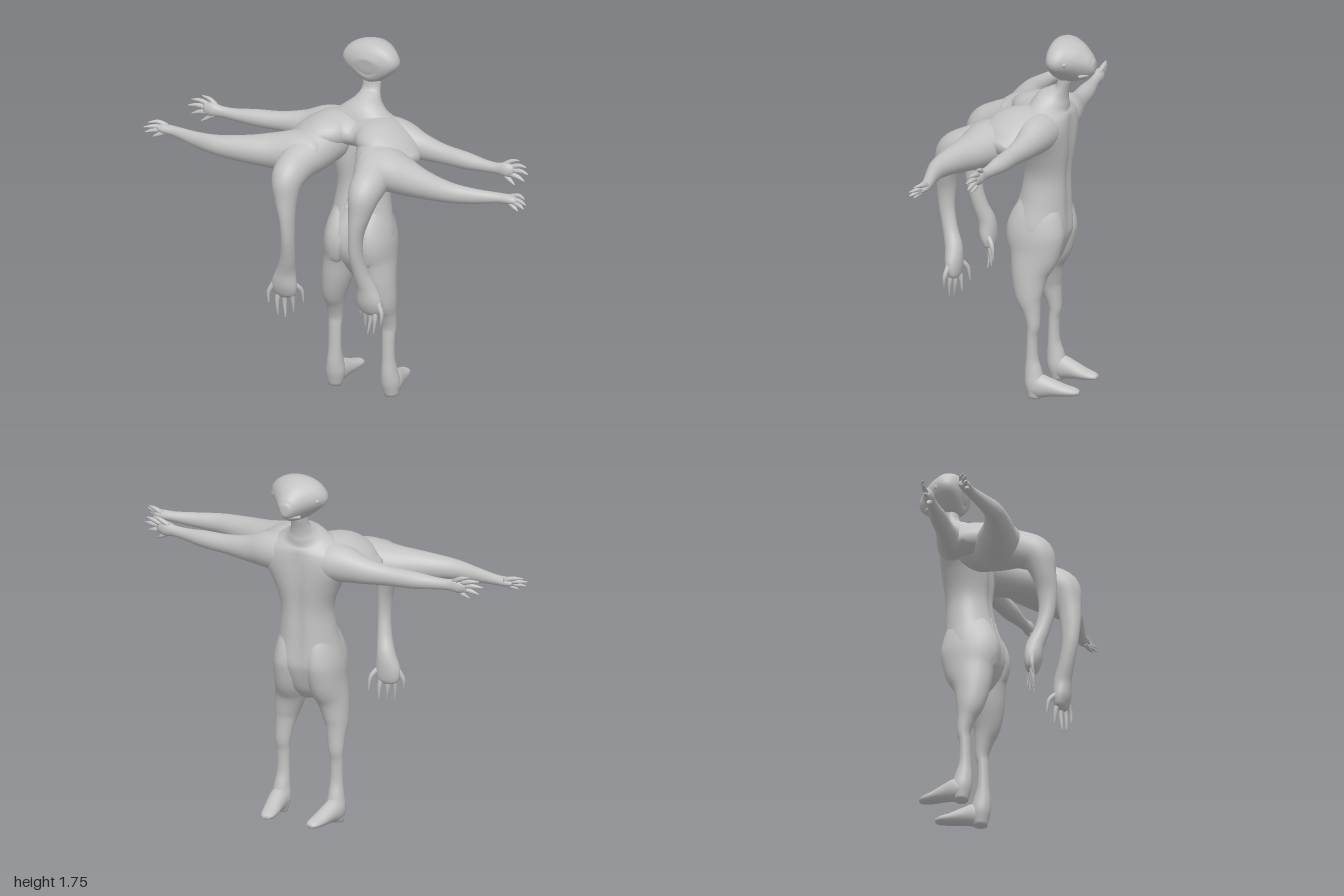
import * as THREE from 'three';

const skin = new THREE.MeshStandardMaterial({ color: 0xc2c2c2 });
skin.name = 'paleGreySkin';
const X = new THREE.Vector3(1, 0, 0);
const Z = new THREE.Vector3(0, 0, 1);

// Smooth closed loft through rings [x, y, z, a, b]; radius a lies along "axis"
function loft(name, rings, axis, sides = 24, steps = 5) {
  const path = new THREE.CatmullRomCurve3(rings.map(r => new THREE.Vector3(r[0], r[1], r[2])), false, 'catmullrom', 0.5);
  const size = new THREE.CatmullRomCurve3(rings.map(r => new THREE.Vector3(r[3], r[4], 0)), false, 'catmullrom', 0.5);
  const n = (rings.length - 1) * steps, pos = [], idx = [];
  for (let i = 0; i <= n; i++) {
    const c = path.getPoint(i / n), s = size.getPoint(i / n), t = path.getTangent(i / n);
    const u = axis.clone().addScaledVector(t, -axis.dot(t)).normalize();
    const v = new THREE.Vector3().crossVectors(t, u);
    for (let j = 0; j < sides; j++) {
      const k = j / sides * Math.PI * 2;
      const p = c.clone().addScaledVector(u, s.x * Math.cos(k)).addScaledVector(v, s.y * Math.sin(k));
      pos.push(p.x, p.y, p.z);
    }
  }
  for (let i = 0; i < n; i++) for (let j = 0; j < sides; j++) {
    const a = i * sides + j, b = i * sides + (j + 1) % sides;
    idx.push(a, b, b + sides, a, b + sides, a + sides);
  }
  // end caps
  const first = pos.length / 3, p0 = path.getPoint(0), p1 = path.getPoint(1);
  pos.push(p0.x, p0.y, p0.z, p1.x, p1.y, p1.z);
  for (let j = 0; j < sides; j++) {
    const k = (j + 1) % sides;
    idx.push(first, k, j, first + 1, n * sides + j, n * sides + k);
  }
  const g = new THREE.BufferGeometry();
  g.setAttribute('position', new THREE.Float32BufferAttribute(pos, 3));
  g.setIndex(idx);
  g.computeVertexNormals();
  const m = new THREE.Mesh(g, skin);
  m.name = name;
  return m;
}

// Move vertices by a rule
function reshape(mesh, rule) {
  const p = mesh.geometry.attributes.position, v = new THREE.Vector3();
  for (let i = 0; i < p.count; i++) {
    v.fromBufferAttribute(p, i);
    rule(v);
    p.setXYZ(i, v.x, v.y, v.z);
  }
  mesh.geometry.computeVertexNormals();
  return mesh;
}

// Tapered, slightly bent fingers: [base, middle, tip]
function fingers(group, name, list, s, axis) {
  list.forEach(([a, b, c], i) => {
    const rings = [[...a, 0.013, 0.013], [...b, 0.011, 0.011], [...c, 0.003, 0.003]];
    rings.forEach(r => { r[0] *= s; });
    group.add(loft(name + (i + 1), rings, axis, 8, 4));
  });
}

export function createModel() {
  const model = new THREE.Group();
  model.name = 'fourArmedFigure';

  // Torso and neck, with a groove down the spine and the chest
  const torso = loft('torso', [
    [0, 0.61, -0.095, 0.05, 0.05], [0, 0.68, -0.095, 0.12, 0.1], [0, 0.8, -0.092, 0.166, 0.143],
    [0, 0.95, -0.112, 0.14, 0.12], [0, 1.08, -0.122, 0.13, 0.108], [0, 1.2, -0.126, 0.175, 0.116],
    [0, 1.3, -0.13, 0.235, 0.115], [0, 1.37, -0.135, 0.21, 0.106], [0, 1.42, -0.147, 0.125, 0.09],
    [0, 1.46, -0.17, 0.07, 0.063], [0, 1.5, -0.195, 0.048, 0.034], [0, 1.55, -0.21, 0.045, 0.035],
    [0, 1.6, -0.215, 0.05, 0.04]], X, 40);
  model.add(reshape(torso, v => {
    const fade = THREE.MathUtils.smoothstep(v.y, 0.7, 0.85) * (1 - THREE.MathUtils.smoothstep(v.y, 1.3, 1.42));
    v.z -= Math.sign(v.z + 0.12) * 0.015 * fade * Math.exp(-((v.x / 0.03) ** 2));
  }));

  // Chest and shoulder mass joining the four arms
  const half = [[0.07, 1.345, -0.085, 0.13, 0.08], [0.14, 1.335, -0.055, 0.155, 0.088],
    [0.21, 1.308, -0.025, 0.155, 0.08], [0.27, 1.286, -0.005, 0.115, 0.058], [0.32, 1.275, 0.01, 0.05, 0.025]];
  model.add(loft('chest', [
    ...half.map(([x, ...r]) => [-x, ...r]).reverse(),
    [0, 1.34, -0.095, 0.125, 0.07], ...half], Z, 32));

  // Wedge head, blunt at one end, pointed at the muzzle, narrowing to the jaw
  const head = loft('head', [
    [0, 1.638, -0.139, 0.035, 0.03], [0, 1.639, -0.145, 0.082, 0.06], [0, 1.641, -0.165, 0.128, 0.09],
    [0, 1.645, -0.205, 0.144, 0.109], [0, 1.64, -0.25, 0.118, 0.102], [0, 1.632, -0.3, 0.078, 0.082],
    [0, 1.628, -0.34, 0.046, 0.052], [0, 1.628, -0.36, 0.022, 0.026]], X, 32);
  model.add(reshape(head, v => {
    v.x *= 0.6 + 0.42 * THREE.MathUtils.smoothstep(v.y, 1.54, 1.665);
  }));
  model.add(loft('mouth', [[-0.05, 1.582, -0.295, 0.008, 0.01], [0, 1.588, -0.335, 0.012, 0.01],
    [0.05, 1.582, -0.295, 0.008, 0.01]], new THREE.Vector3(0, 1, 0), 10));

  for (const s of [1, -1]) {
    const side = new THREE.Group();
    side.name = s > 0 ? 'leftSide' : 'rightSide';
    model.add(side);
    const part = (name, rings, axis, sides) =>
      side.add(loft(name, rings.map(r => [r[0] * s, ...r.slice(1)]), axis, sides));

    const eye = new THREE.Mesh(new THREE.SphereGeometry(0.014, 12, 8), skin);
    eye.name = 'eye';
    eye.position.set(s * 0.112, 1.655, -0.245);
    side.add(eye);

    // Leg and backward-pointing foot
    part('leg', [
      [0.065, 1.0, -0.115, 0.035, 0.06], [0.074, 0.9, -0.102, 0.07, 0.118], [0.082, 0.8, -0.092, 0.087, 0.143],
      [0.09, 0.7, -0.09, 0.084, 0.123], [0.11, 0.6, -0.074, 0.074, 0.089], [0.13, 0.5, -0.077, 0.058, 0.066],
      [0.136, 0.43, -0.093, 0.045, 0.044], [0.14, 0.36, -0.105, 0.037, 0.031], [0.14, 0.3, -0.099, 0.032, 0.026],
      [0.14, 0.2, -0.098, 0.032, 0.029], [0.142, 0.13, -0.105, 0.039, 0.042], [0.144, 0.07, -0.113, 0.046, 0.046],
      [0.147, 0.005, -0.115, 0.034, 0.032]], X);
    part('foot', [
      [0.147, 0.05, -0.085, 0.02, 0.02], [0.147, 0.052, -0.095, 0.038, 0.042], [0.145, 0.064, -0.135, 0.046, 0.058],
      [0.137, 0.06, -0.19, 0.043, 0.044], [0.127, 0.051, -0.25, 0.04, 0.029], [0.119, 0.047, -0.3, 0.033, 0.019],
      [0.115, 0.044, -0.325, 0.017, 0.01]], X);
    // Raised angular fold over the hip
    part('hipFold', [[0.03, 0.98, -0.01, 0.01, 0.008], [0.045, 0.9, 0.005, 0.024, 0.016],
      [0.065, 0.8, 0.033, 0.036, 0.016], [0.08, 0.72, 0.025, 0.036, 0.014], [0.085, 0.68, 0.002, 0.02, 0.01]], X, 6);

    // Chest shoulder reaching forward and turning into the hanging arm
    part('hangingArm', [
      [0.09, 1.31, -0.17, 0.05, 0.05], [0.11, 1.315, -0.13, 0.1, 0.095], [0.135, 1.305, -0.04, 0.115, 0.115],
      [0.17, 1.265, 0.08, 0.105, 0.102], [0.195, 1.235, 0.19, 0.088, 0.088], [0.2, 1.19, 0.272, 0.076, 0.084],
      [0.193, 1.1, 0.304, 0.054, 0.06], [0.18, 1.0, 0.317, 0.036, 0.048], [0.178, 0.9, 0.315, 0.032, 0.039],
      [0.19, 0.8, 0.293, 0.036, 0.037], [0.21, 0.72, 0.268, 0.046, 0.042], [0.222, 0.65, 0.262, 0.063, 0.04],
      [0.225, 0.6, 0.256, 0.056, 0.028], [0.225, 0.58, 0.255, 0.03, 0.015]], X);
    fingers(side, 'hangingFinger', [
      [[0.27, 0.65, 0.27], [0.295, 0.6, 0.28], [0.293, 0.545, 0.285]],
      [[0.25, 0.61, 0.26], [0.256, 0.56, 0.27], [0.25, 0.49, 0.275]],
      [[0.225, 0.6, 0.255], [0.225, 0.55, 0.255], [0.215, 0.48, 0.265]],
      [[0.195, 0.61, 0.25], [0.19, 0.56, 0.24], [0.188, 0.5, 0.235]],
      [[0.18, 0.65, 0.25], [0.155, 0.61, 0.22], [0.148, 0.545, 0.21]]], s, X);

    // Front arm stretched sideways
    part('frontArm', [
      [0.1, 1.28, 0.06, 0.07, 0.05], [0.14, 1.275, 0.07, 0.11, 0.085], [0.22, 1.262, 0.095, 0.122, 0.1],
      [0.33, 1.252, 0.125, 0.093, 0.087], [0.45, 1.25, 0.163, 0.067, 0.069], [0.6, 1.25, 0.19, 0.046, 0.05],
      [0.72, 1.25, 0.178, 0.032, 0.038], [0.84, 1.255, 0.153, 0.026, 0.025], [0.91, 1.257, 0.148, 0.028, 0.022],
      [0.94, 1.257, 0.15, 0.02, 0.014]], Z);
    fingers(side, 'frontFinger', [
      [[0.9, 1.268, 0.135], [0.945, 1.282, 0.142], [0.985, 1.28, 0.165]],
      [[0.92, 1.262, 0.15], [0.96, 1.263, 0.16], [1.0, 1.26, 0.182]],
      [[0.92, 1.252, 0.155], [0.96, 1.245, 0.167], [0.99, 1.238, 0.185]],
      [[0.9, 1.245, 0.155], [0.93, 1.23, 0.165], [0.955, 1.218, 0.175]]], s, Z);

    // Rear arm stretched sideways, hand spread vertically
    part('rearArm', [
      [0.06, 1.32, -0.13, 0.05, 0.05], [0.11, 1.32, -0.13, 0.095, 0.09], [0.2, 1.315, -0.132, 0.085, 0.088],
      [0.3, 1.299, -0.127, 0.058, 0.065], [0.42, 1.29, -0.112, 0.043, 0.048], [0.55, 1.287, -0.098, 0.04, 0.041],
      [0.65, 1.287, -0.086, 0.028, 0.03], [0.72, 1.29, -0.08, 0.023, 0.027], [0.77, 1.293, -0.076, 0.026, 0.036],
      [0.81, 1.293, -0.073, 0.016, 0.026]], Z);
    fingers(side, 'rearFinger', [
      [[0.75, 1.312, -0.082], [0.79, 1.336, -0.09], [0.83, 1.348, -0.088]],
      [[0.79, 1.312, -0.08], [0.835, 1.325, -0.08], [0.875, 1.328, -0.07]],
      [[0.8, 1.298, -0.075], [0.85, 1.302, -0.072], [0.89, 1.298, -0.06]],
      [[0.79, 1.28, -0.07], [0.835, 1.272, -0.068], [0.87, 1.26, -0.06]],
      [[0.76, 1.272, -0.07], [0.79, 1.25, -0.068], [0.82, 1.232, -0.06]]], s, Z);
  }
  return model;
}
